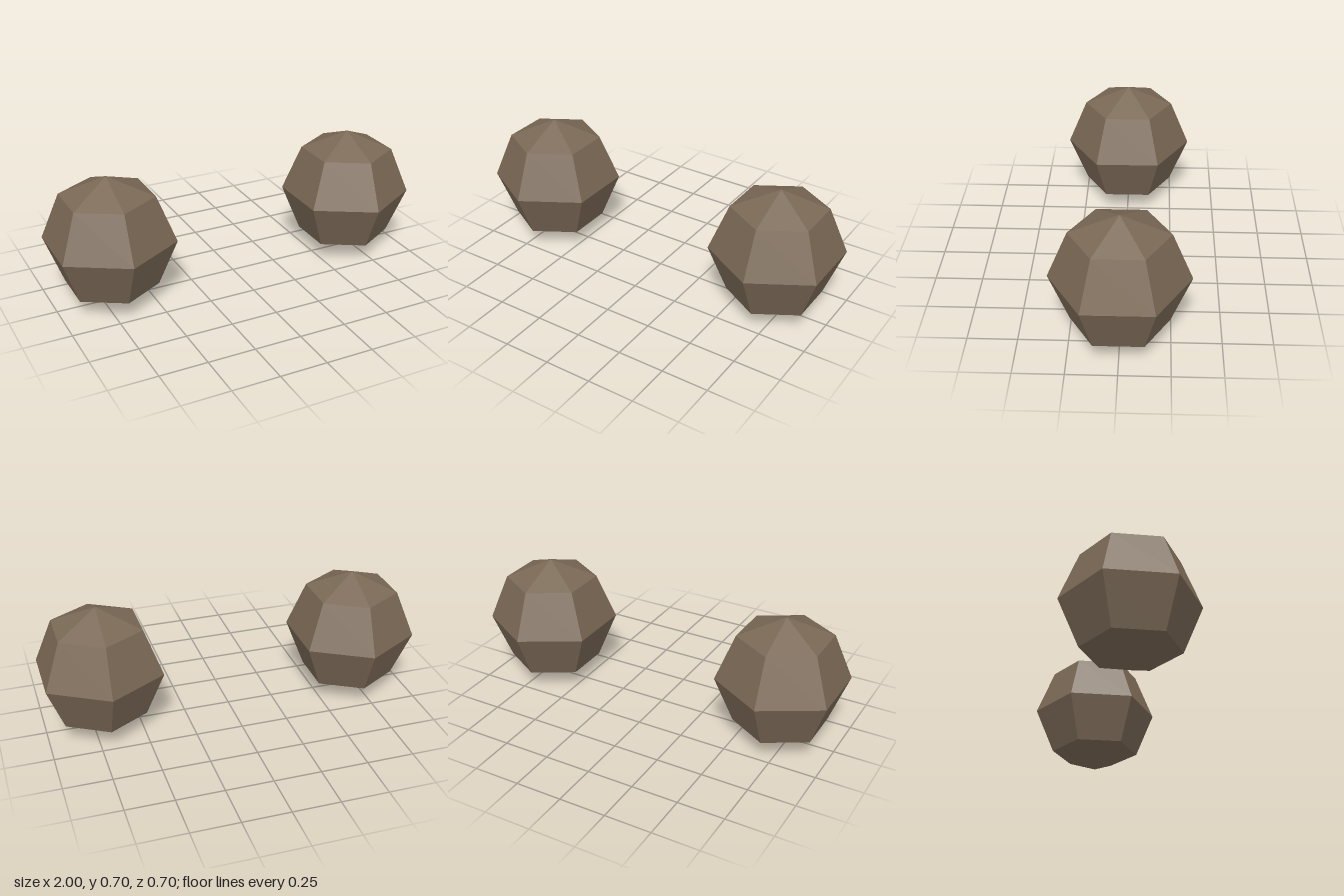
import * as THREE from 'three';

export function createModel() {
  const group = new THREE.Group();
  const radius = 0.3485;
  const material = new THREE.MeshStandardMaterial({ color: 0x7a6855, flatShading: true });

  // Six-sided low-poly ball with corners pointing to the front and back
  const geometry = new THREE.SphereGeometry(radius, 6, 4).rotateY(Math.PI / 2);

  // Mirrored pair, each standing on its lower point
  for (const [name, side] of [['leftBall', 1], ['rightBall', -1]]) {
    const ball = new THREE.Mesh(geometry, material);
    ball.name = name;
    ball.position.set(side * (1 - radius * Math.cos(Math.PI / 6)), radius, 0);
    group.add(ball);
  }
  return group;
}
